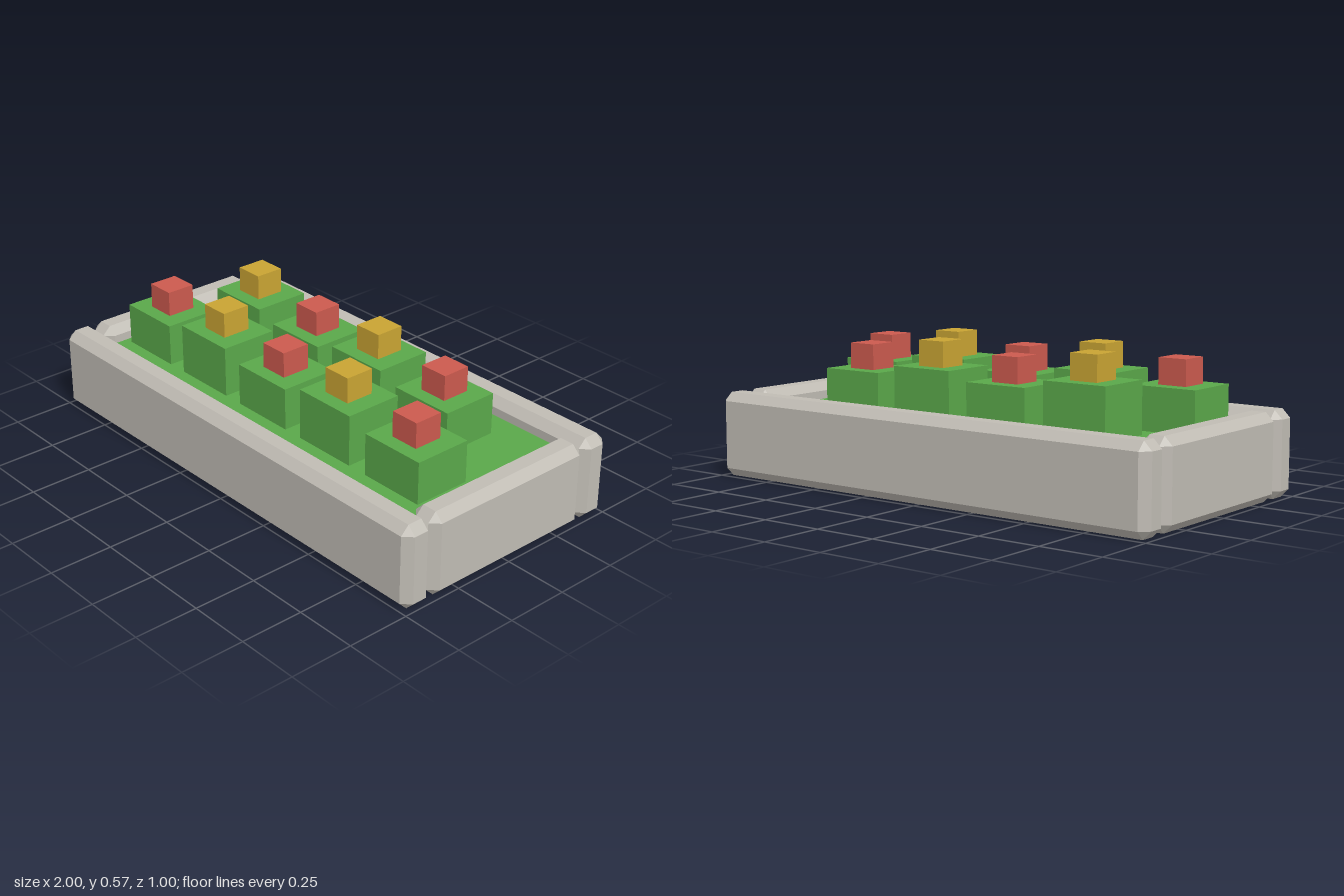
import * as THREE from 'three';
import { ConvexGeometry } from 'three/addons/geometries/ConvexGeometry.js';

const material = (name, color) => {
  const m = new THREE.MeshStandardMaterial({ color });
  m.name = name;
  return m;
};

// Box with every edge cut at 45 degrees
function chamferedBox(w, h, d, c) {
  const points = [];
  for (const sx of [-1, 1]) for (const sy of [-1, 1]) for (const sz of [-1, 1]) {
    const x = w / 2, y = h / 2, z = d / 2;
    points.push(
      new THREE.Vector3(sx * x, sy * (y - c), sz * (z - c)),
      new THREE.Vector3(sx * (x - c), sy * y, sz * (z - c)),
      new THREE.Vector3(sx * (x - c), sy * (y - c), sz * z)
    );
  }
  return new ConvexGeometry(points);
}

export function createModel() {
  const group = new THREE.Group();
  group.name = 'flowerPlanter';
  const stone = material('stone', 0xc0bcb4);
  const green = material('leafGreen', 0x5aa84a);
  const red = material('redPetal', 0xcc5a4e);
  const yellow = material('yellowPetal', 0xc9a433);

  const add = (name, geometry, mat, x, y, z) => {
    const mesh = new THREE.Mesh(geometry, mat);
    mesh.name = name;
    mesh.position.set(x, y, z);
    group.add(mesh);
  };

  // Stone walls
  const height = 0.333, thick = 0.125, chamfer = 0.033;
  const longWall = chamferedBox(2, height, thick, chamfer);
  const endWall = chamferedBox(thick, height, 0.75, chamfer);
  for (const s of [1, -1]) {
    add(s > 0 ? 'frontWall' : 'backWall', longWall, stone, 0, height / 2, s * 0.4375);
    add(s > 0 ? 'leftWall' : 'rightWall', endWall, stone, s * 0.9375, height / 2, 0);
  }

  // Planted bed filling the walls
  const bedTop = 0.267;
  add('bed', new THREE.BoxGeometry(1.75, bedTop, 0.75), green, 0, bedTop / 2, 0);

  // Two staggered rows of bushes, each with one flower
  const rows = [
    { x: -0.711, z: 0.167, count: 5, firstTall: 0 },
    { x: -0.543, z: -0.15, count: 4, firstTall: 1 }
  ];
  const flower = new THREE.BoxGeometry(0.117, 0.117, 0.117);
  for (const row of rows) {
    for (let i = 0; i < row.count; i++) {
      const tall = (i + row.firstTall) % 2 === 1;
      const top = tall ? 0.467 : 0.433;
      const x = row.x + i * 0.35;
      add('bush', new THREE.BoxGeometry(0.267, top - bedTop, 0.233), green, x, (top + bedTop) / 2, row.z);
      add('flower', flower, tall ? yellow : red, x, top + 0.1 - 0.0585, row.z);
    }
  }
  return group;
}
